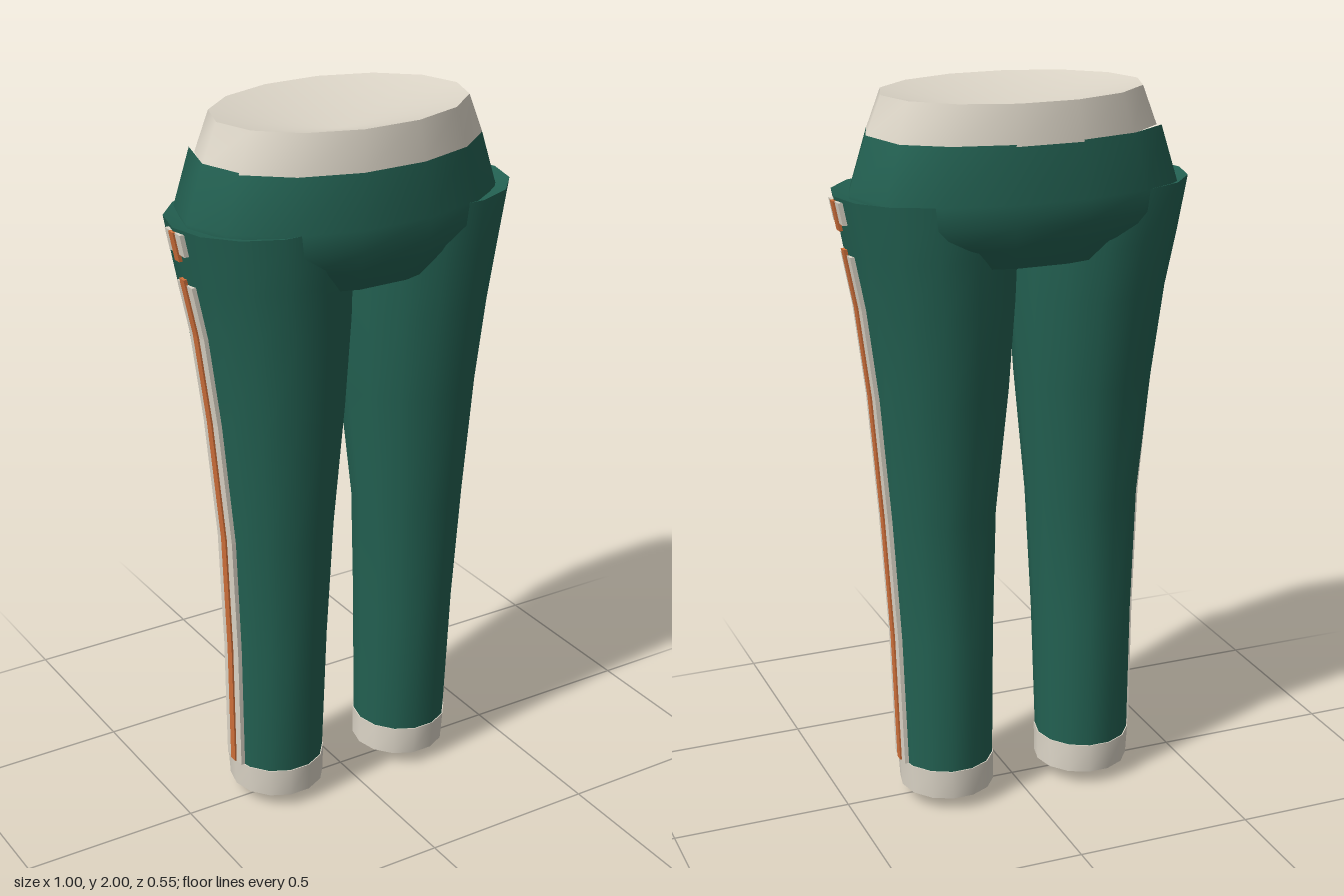
import * as THREE from 'three';

const green = new THREE.MeshStandardMaterial({ color: 0x236152 });
green.name = 'green cloth';
const cream = new THREE.MeshStandardMaterial({ color: 0xddd6c8 });
cream.name = 'cream trim';
const orange = new THREE.MeshStandardMaterial({ color: 0xd0703a });
orange.name = 'orange stripe';

const SIDES = 14;

// Skins elliptical rings [y, cx, cz, rx, rz] listed from bottom to top.
// bottom / top are optional cap apexes [x, y, z]; backPower below 1 squares off the back.
function loft(rings, { sides = SIDES, turn = 0, bottom, top, backPower = 1, flat = false } = {}) {
  const pos = [], idx = [];
  const addRing = ([y, cx, cz, rx, rz]) => {
    const start = pos.length / 3;
    for (let j = 0; j < sides; j++) {
      const a = turn + (j / sides) * Math.PI * 2;
      const s = Math.sin(a);
      const sz = s < 0 ? -Math.pow(-s, backPower) : s;
      pos.push(cx + rx * Math.cos(a), y, cz + rz * sz);
    }
    return start;
  };
  const starts = rings.map(addRing);
  for (let i = 0; i < rings.length - 1; i++) {
    for (let j = 0; j < sides; j++) {
      const k = (j + 1) % sides;
      const a = starts[i] + j, b = starts[i] + k, c = starts[i + 1] + j, d = starts[i + 1] + k;
      idx.push(a, c, b, b, c, d);
    }
  }
  // Caps get their own ring so the rim stays sharp
  const cap = (ring, apex, up) => {
    const s = addRing(ring), tip = pos.length / 3;
    pos.push(...apex);
    for (let j = 0; j < sides; j++) {
      const a = s + j, b = s + (j + 1) % sides;
      if (up) idx.push(a, tip, b);
      else idx.push(a, b, tip);
    }
  };
  if (bottom) cap(rings[0], bottom, false);
  if (top) cap(rings[rings.length - 1], top, true);
  let geo = new THREE.BufferGeometry();
  geo.setAttribute('position', new THREE.Float32BufferAttribute(pos, 3));
  geo.setIndex(idx);
  if (flat) geo = geo.toNonIndexed();
  geo.computeVertexNormals();
  return geo;
}

// Leg outline: [y, inner x, outer x, back z, front z]
const LEG = [
  [0.12, 0.078, 0.343, -0.153, 0.125],
  [0.5, 0.07, 0.352, -0.15, 0.147],
  [0.85, 0.055, 0.37, -0.145, 0.168],
  [1.2, 0.022, 0.4, -0.187, 0.2],
  [1.45, 0.005, 0.432, -0.212, 0.222],
  [1.6, 0, 0.462, -0.227, 0.23],
  [1.75, -0.01, 0.492, -0.232, 0.234],
];
const toRing = ([y, x0, x1, z0, z1], side) =>
  [y, side * (x0 + x1) / 2, (z0 + z1) / 2, (x1 - x0) / 2, (z1 - z0) / 2];

// Outer seam position at a given height
function seamAt(y) {
  let i = 0;
  while (i < LEG.length - 2 && LEG[i + 1][0] < y) i++;
  const a = LEG[i], b = LEG[i + 1], t = (y - a[0]) / (b[0] - a[0]);
  const mix = (k) => a[k] + (b[k] - a[k]) * t;
  return { x: mix(2), z: (mix(3) + mix(4)) / 2 };
}

// Thin strip that follows the outer seam of a leg
function seamStrip(side, y0, y1, halfWidth, lift, depth) {
  const heights = [y0, ...LEG.map((r) => r[0]).filter((y) => y > y0 && y < y1), y1];
  const rings = heights.map((y) => {
    const p = seamAt(y);
    return [y, side * (p.x + lift - depth / 2), p.z, depth * Math.SQRT1_2, halfWidth * Math.SQRT2];
  });
  const mid = (r) => [r[1], r[0], r[2]];
  return loft(rings, {
    sides: 4, turn: Math.PI / 4, flat: true,
    bottom: mid(rings[0]), top: mid(rings[rings.length - 1]),
  });
}

export function createModel() {
  const model = new THREE.Group();
  model.name = 'trousers';
  const add = (parent, name, geo, mat) => {
    const mesh = new THREE.Mesh(geo, mat);
    mesh.name = name;
    parent.add(mesh);
  };

  // Hips, with a fuller, flatter seat
  add(model, 'hips', loft([
    [1.57, 0, 0, 0.32, 0.217],
    [1.63, 0, 0, 0.4, 0.252],
    [1.69, 0, 0, 0.44, 0.278],
    [1.75, 0, 0, 0.452, 0.28],
    [1.9, 0, 0, 0.402, 0.265],
  ], { bottom: [0, 1.57, 0], backPower: 0.7 }), green);

  // Waistband with a sunken top
  add(model, 'waistband', loft([
    [1.895, 0, 0, 0.403, 0.268],
    [2, 0, 0, 0.36, 0.253],
  ], { bottom: [0, 1.895, 0], top: [0, 1.93, 0] }), cream);

  for (const side of [1, -1]) {
    const leg = new THREE.Group();
    leg.name = side > 0 ? 'leftLeg' : 'rightLeg';
    model.add(leg);

    add(leg, 'trouserLeg', loft(LEG.map((r) => toRing(r, side)), {
      bottom: [side * 0.21, 0.12, -0.014], top: [side * 0.24, 1.69, 0],
    }), green);

    // Ankle cuff with a shallow pointed underside
    add(leg, 'cuff', loft([
      toRing([0.04, 0.075, 0.341, -0.152, 0.122], side),
      toRing([0.125, 0.075, 0.346, -0.156, 0.128], side),
    ], {
      bottom: [side * 0.21 + 0.03, 0, -0.03], top: [side * 0.21, 0.125, -0.014],
    }), cream);

    // Side stripes, broken by a gap below the hip
    add(leg, 'paleStripe', seamStrip(side, 0.125, 1.595, 0.04, 0.003, 0.018), cream);
    add(leg, 'paleStripeTop', seamStrip(side, 1.68, 1.74, 0.04, 0.003, 0.035), cream);
    add(leg, 'brightStripe', seamStrip(side, 0.125, 1.61, 0.012, 0.008, 0.01), orange);
    add(leg, 'brightStripeTop', seamStrip(side, 1.66, 1.74, 0.012, 0.008, 0.01), orange);
  }
  return model;
}
